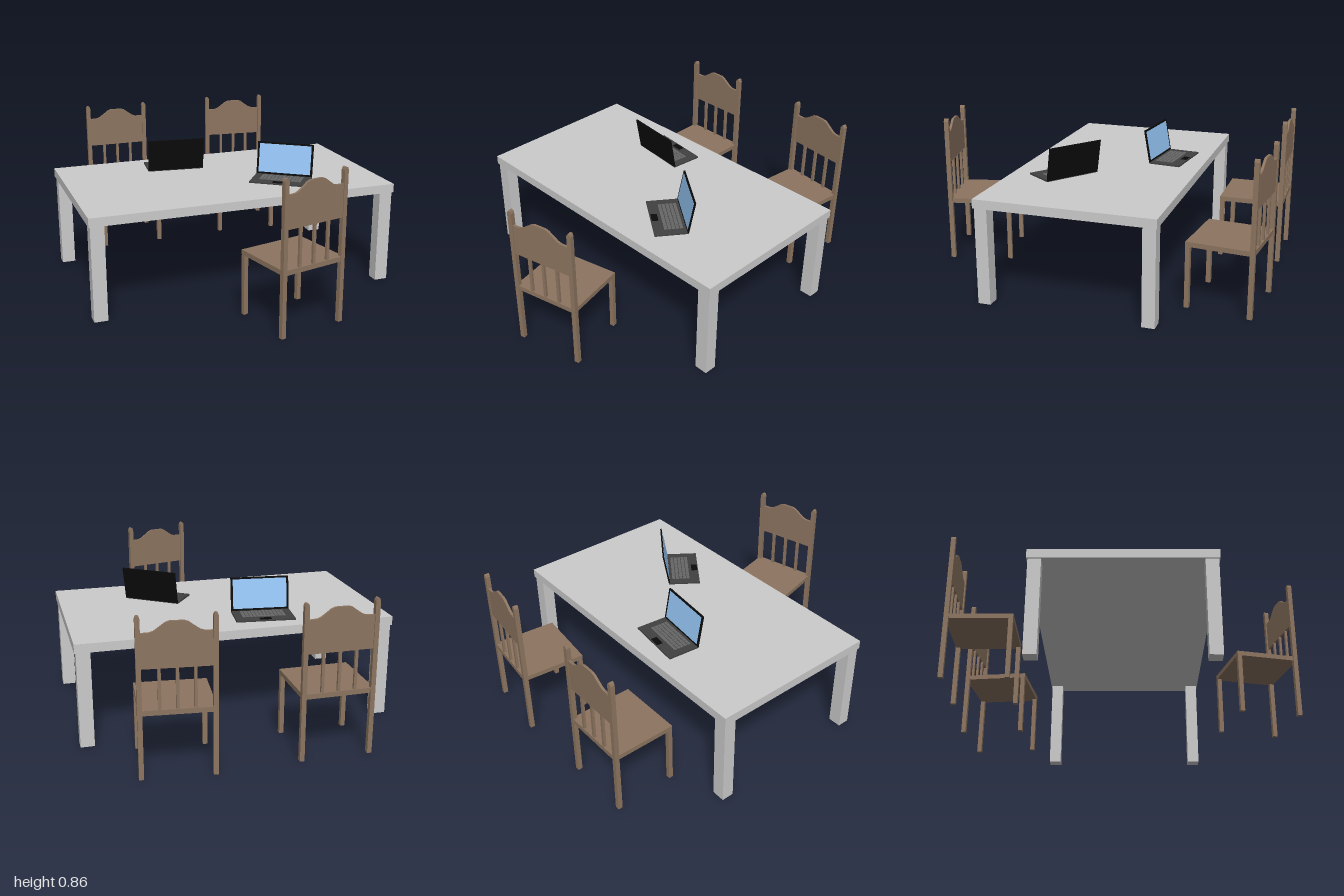
import * as THREE from 'three';
import { mergeGeometries } from 'three/addons/utils/BufferGeometryUtils.js';

const material = (color) => new THREE.MeshStandardMaterial({ color });
const grey = material(0xcccccc);
const wood = material(0x8d7560);
const casing = material(0x414141);
const keyGrey = material(0x686868);
const black = material(0x0b0b0b);
const blue = material(0x98c8f8);

function add(parent, name, geometry, mat, x = 0, y = 0, z = 0) {
  const mesh = new THREE.Mesh(geometry, mat);
  mesh.name = name;
  mesh.position.set(x, y, z);
  parent.add(mesh);
  return mesh;
}

const box = (w, h, d) => new THREE.BoxGeometry(w, h, d);

// Flat outline in x and y, given a thickness centred on z
function slab(points, depth) {
  const shape = new THREE.Shape(points.map(([x, y]) => new THREE.Vector2(x, y)));
  return new THREE.ExtrudeGeometry(shape, { depth, bevelEnabled: false }).translate(0, 0, -depth / 2);
}

function createTable() {
  const table = new THREE.Group();
  table.name = 'table';
  table.position.z = -0.03;
  add(table, 'tableTop', box(1.77, 0.05, 0.987), grey, 0, 0.56, 0);
  for (const x of [-0.839, 0.839]) {
    for (const z of [-0.452, 0.452]) add(table, 'tableLeg', box(0.076, 0.535, 0.07), grey, x, 0.2675, z);
  }
  return table;
}

// Chair faces +z before it is turned
function createChair(x, z, turn) {
  const chair = new THREE.Group();
  chair.name = 'chair';
  chair.position.set(x, 0, z);
  chair.rotation.y = turn;
  add(chair, 'seat', box(0.385, 0.027, 0.366), wood, 0, 0.363, 0);

  const postOutline = [
    [-0.0125, 0.008], [0.0125, 0.008], [0.0125, 0.84], [0.007, 0.853],
    [0, 0.856], [-0.007, 0.853], [-0.0125, 0.84],
  ];
  for (const side of [-1, 1]) {
    add(chair, 'backPost', slab(postOutline, 0.026), wood, side * 0.186, 0, -0.173);
    add(chair, 'frontLeg', box(0.025, 0.345, 0.025), wood, side * 0.18, 0.1805, 0.17);
  }
  for (const i of [-1, 0, 1]) add(chair, 'spindle', box(0.016, 0.225, 0.014), wood, i * 0.088, 0.483, -0.173);

  // Backrest panel with a raised wavy crest
  const crest = [[0.18, 0.768], [0.13, 0.77], [0.11, 0.777], [0.075, 0.802], [0.055, 0.817], [0.035, 0.824]];
  const outline = [[-0.18, 0.59], [0.18, 0.59], ...crest, ...crest.map(([px, py]) => [-px, py]).reverse()];
  add(chair, 'backPanel', slab(outline, 0.014), wood, 0, 0, -0.175);
  return chair;
}

// Laptop opens towards +z before it is turned
function createLaptop(x, z, turn) {
  const laptop = new THREE.Group();
  laptop.name = 'laptop';
  laptop.position.set(x, 0.585, z);
  laptop.rotation.y = turn;
  add(laptop, 'laptopBase', box(0.332, 0.009, 0.184), casing, 0, 0.0045, 0);
  add(laptop, 'trackpad', box(0.066, 0.001, 0.036), black, 0, 0.0093, 0.069);

  // Five rows of keys, the nearest with a long space bar
  const keys = [];
  const pitch = 0.0205;
  const addKey = (kx, width, row) => keys.push(box(width, 0.002, 0.018).translate(kx, 0.0098, -0.062 + row * 0.0215));
  for (let row = 0; row < 5; row++) {
    for (let col = 0; col < 12; col++) {
      if (row === 4 && col > 2 && col < 9) continue;
      addKey((col - 5.5) * pitch, 0.0175, row);
    }
  }
  addKey(0, pitch * 6 - 0.003, 4);
  add(laptop, 'keyboard', mergeGeometries(keys), keyGrey);

  // Lid leaning back from the hinge
  const lid = new THREE.Group();
  lid.name = 'lid';
  lid.position.set(0, 0.005, -0.09);
  lid.rotation.x = -0.18;
  add(lid, 'lidShell', box(0.332, 0.192, 0.008), black, 0, 0.096, 0);
  add(lid, 'screen', box(0.308, 0.168, 0.001), blue, 0, 0.098, 0.0043);
  laptop.add(lid);
  return laptop;
}

export function createModel() {
  const model = new THREE.Group();
  model.name = 'tableWithChairs';
  model.add(
    createTable(),
    createChair(-0.385, -0.797, 0),
    createChair(0.427, -0.798, -0.105),
    createChair(0.118, 0.762, Math.PI + 0.234),
    createLaptop(-0.19, -0.33, Math.PI - 0.11),
    createLaptop(0.303, 0.184, -0.625),
  );
  return model;
}
